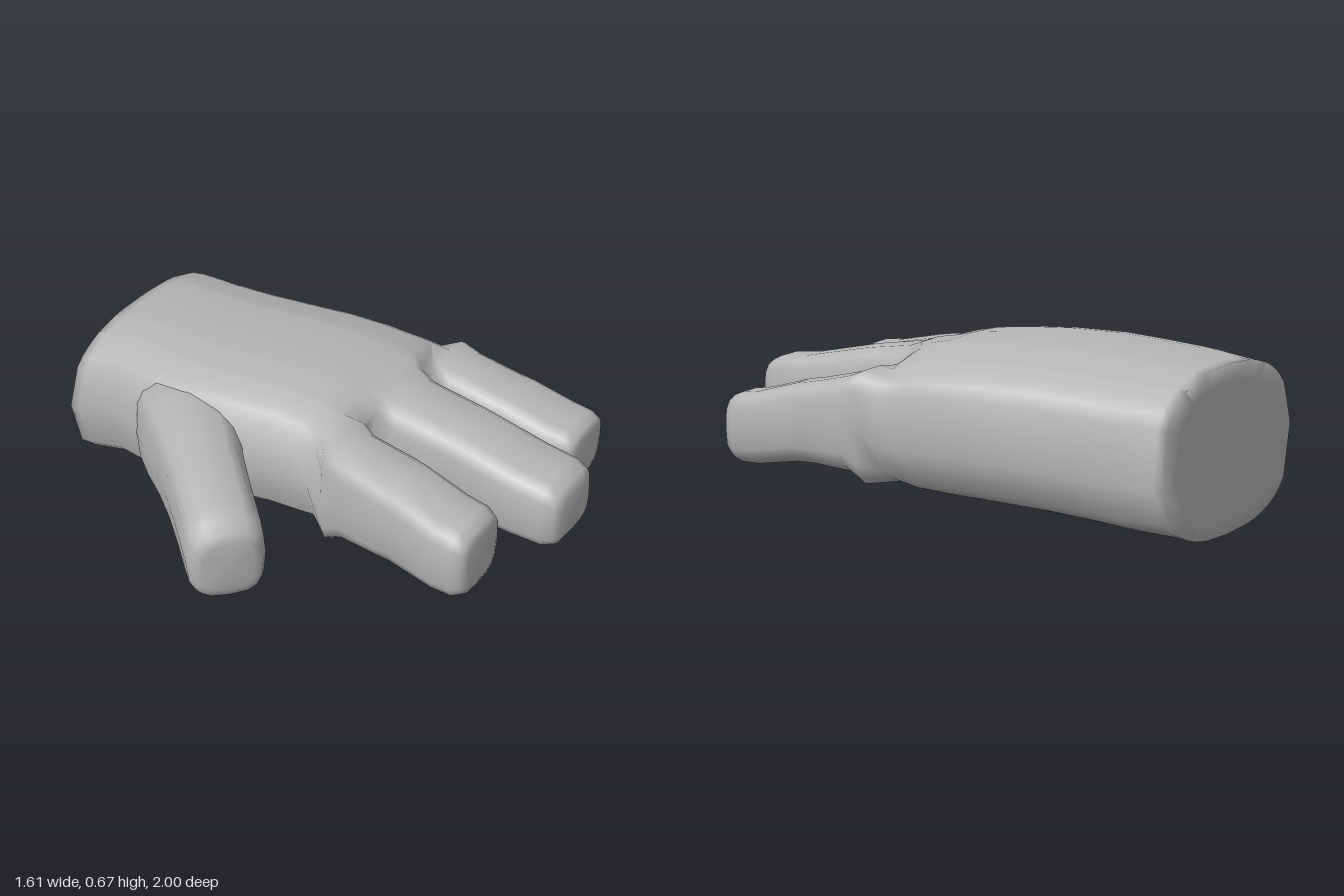
import * as THREE from 'three';

const SIDES = 16; // points around a finger: 2, 6, 10 and 14 are its corners

// Signed power, used for rounded-box (superellipse) sections
const spow = (v, e) => Math.sign(v) * Math.abs(v) ** e;

// Collects shared vertices and faces so that joined parts shade smoothly
function makeSkin() {
  const pos = [], idx = [];
  const skin = {
    pos,
    add(x, y, z) { pos.push(x, y, z); return pos.length / 3 - 1; },
    quad(a, b, c, d) { idx.push(a, b, c, a, c, d); },
    // Rounded-box ring from [z, x0, x1, y0, y1]
    ring([z, x0, x1, y0, y1], e = 0.6) {
      return Array.from({ length: SIDES }, (_, k) => {
        const t = k / SIDES * Math.PI * 2;
        return skin.add((x0 + x1) / 2 + (x1 - x0) / 2 * spow(Math.cos(t), e),
          (y0 + y1) / 2 + (y1 - y0) / 2 * spow(Math.sin(t), e), z);
      });
    },
    loft(rings) {
      for (let i = 0; i + 1 < rings.length; i++) {
        const a = rings[i], b = rings[i + 1], n = a.length;
        for (let k = 0; k < n; k++) skin.quad(a[k], a[(k + 1) % n], b[(k + 1) % n], b[k]);
      }
    },
    cap(ring, back = false) {
      const c = [0, 1, 2].map(j => ring.reduce((s, v) => s + pos[v * 3 + j], 0) / ring.length);
      const m = skin.add(...c);
      ring.forEach((v, k) => {
        const w = ring[(k + 1) % ring.length];
        idx.push(m, ...(back ? [w, v] : [v, w]));
      });
    },
    mesh(name, material) {
      const g = new THREE.BufferGeometry();
      g.setAttribute('position', new THREE.Float32BufferAttribute(pos, 3));
      g.setIndex(idx);
      g.computeVertexNormals();
      const m = new THREE.Mesh(g, material);
      m.name = name;
      return m;
    },
  };
  return skin;
}

// Finger sections from knuckle to tip: [z, x0, x1, y0, y1]
const FINGERS = [
  [ // index
    [0.21, -0.285, 0.02, 0.16, 0.62], [0.28, -0.29, -0.005, 0.2, 0.605], [0.45, -0.31, -0.015, 0.215, 0.59],
    [0.52, -0.315, -0.02, 0.22, 0.58], [0.72, -0.345, -0.045, 0.215, 0.545],
    [0.81, -0.35, -0.055, 0.225, 0.54], [0.85, -0.335, -0.075, 0.25, 0.52], [0.862, -0.30, -0.11, 0.285, 0.485],
  ],
  [ // middle
    [0.21, 0.06, 0.43, 0.15, 0.635], [0.28, 0.075, 0.415, 0.195, 0.615], [0.45, 0.08, 0.41, 0.21, 0.595],
    [0.52, 0.08, 0.41, 0.22, 0.585], [0.8, 0.08, 0.405, 0.22, 0.535],
    [0.93, 0.083, 0.397, 0.225, 0.525], [0.98, 0.1, 0.38, 0.245, 0.505], [1.0, 0.135, 0.345, 0.285, 0.465],
  ],
  [ // little
    [0.21, 0.465, 0.765, 0.13, 0.565], [0.28, 0.48, 0.77, 0.17, 0.54], [0.45, 0.488, 0.78, 0.185, 0.505],
    [0.52, 0.49, 0.785, 0.185, 0.495], [0.7, 0.5, 0.8, 0.16, 0.45],
    [0.78, 0.51, 0.8, 0.16, 0.44], [0.82, 0.525, 0.785, 0.18, 0.425], [0.83, 0.56, 0.75, 0.215, 0.39],
  ],
];

// Palm sections from cuff to knuckles, the first being an inset of the cuff end
const PALM = [
  [-1, -0.22, 0.57, 0.07, 0.55], [-1, -0.31, 0.66, 0.005, 0.615], [-0.96, -0.31, 0.66, 0.01, 0.62],
  [-0.8, -0.3, 0.665, 0.03, 0.64], [-0.62, -0.33, 0.675, 0.045, 0.655], [-0.45, -0.35, 0.695, 0.06, 0.668],
  [-0.25, -0.325, 0.725, 0.075, 0.675], [-0.08, -0.285, 0.74, 0.085, 0.672], [0.05, -0.275, 0.75, 0.095, 0.662],
  [0.14, -0.28, 0.76, 0.12, 0.645],
];

// Thumb sections along its own axis, the tip at z = 0
const THUMB = [
  [-1.05, -0.17, 0.17, 0.2, 0.52], [-0.82, -0.2, 0.18, 0.13, 0.59], [-0.7, -0.19, 0.18, 0.13, 0.6],
  [-0.55, -0.17, 0.17, 0.15, 0.59], [-0.4, -0.158, 0.155, 0.165, 0.57], [-0.25, -0.152, 0.15, 0.16, 0.55],
  [-0.1, -0.15, 0.15, 0.155, 0.52], [-0.04, -0.148, 0.148, 0.16, 0.495],
  [0, -0.13, 0.13, 0.18, 0.465], [0.015, -0.095, 0.095, 0.22, 0.425],
];

function buildHand(material) {
  const skin = makeSkin();

  // Fingers
  const bases = FINGERS.map(sections => {
    const rings = sections.map((s, i) => skin.ring(s, i ? 0.6 : 0.5));
    skin.loft(rings);
    skin.cap(rings.at(-1));
    return rings[0];
  });

  // Webs between neighbouring fingers
  const rightSide = [14, 15, 0, 1, 2], leftSide = [10, 9, 8, 7, 6];
  for (let f = 0; f < 2; f++) {
    const L = rightSide.map(k => bases[f][k]), R = leftSide.map(k => bases[f + 1][k]);
    for (let j = 0; j < 4; j++) skin.quad(L[j], R[j], R[j + 1], L[j + 1]);
  }

  // Knuckle ring: the outer points of all three finger bases
  const [index, middle, little] = bases;
  const knuckles = [
    ...little.slice(14), ...little.slice(0, 7), ...middle.slice(2, 7), ...index.slice(2, 15),
    ...middle.slice(10, 15), ...little.slice(10, 14),
  ];

  // Palm and cuff, lined up with the knuckle ring; its back slopes to the little finger
  const angles = knuckles.map(v =>
    Math.atan2((skin.pos[v * 3 + 1] - 0.38) / 0.25, (skin.pos[v * 3] - 0.24) / 0.525));
  const rings = PALM.map(([z, x0, x1, y0, y1]) => angles.map(a => {
    const dx = (x1 - x0) / 2 * spow(Math.cos(a), 0.8);
    const dy = (y1 - y0) / 2 * spow(Math.sin(a), Math.sin(a) > 0 ? 0.85 : 0.7);
    return skin.add((x0 + x1) / 2 + dx, (y0 + y1) / 2 + dy - 0.06 * dx * (z > -0.9 ? 1 : 0.3), z);
  }));
  skin.cap(rings[0], true);
  skin.loft([...rings, knuckles]);
  return skin.mesh('palmAndFingers', material);
}

function buildThumb(material) {
  const skin = makeSkin();
  const rings = THUMB.map(s => skin.ring(s, 0.65));
  skin.cap(rings[0], true);
  skin.loft(rings);
  skin.cap(rings.at(-1));
  const thumb = skin.mesh('thumb', material);
  thumb.position.set(-0.71, 0, 0.1);
  thumb.rotation.y = -0.72;
  return thumb;
}

export function createModel() {
  const group = new THREE.Group();
  group.name = 'glovedHand';
  const grey = new THREE.MeshStandardMaterial({ color: 0xb4b4b4 });
  grey.name = 'gloveGrey';
  group.add(buildHand(grey), buildThumb(grey));
  return group;
}
